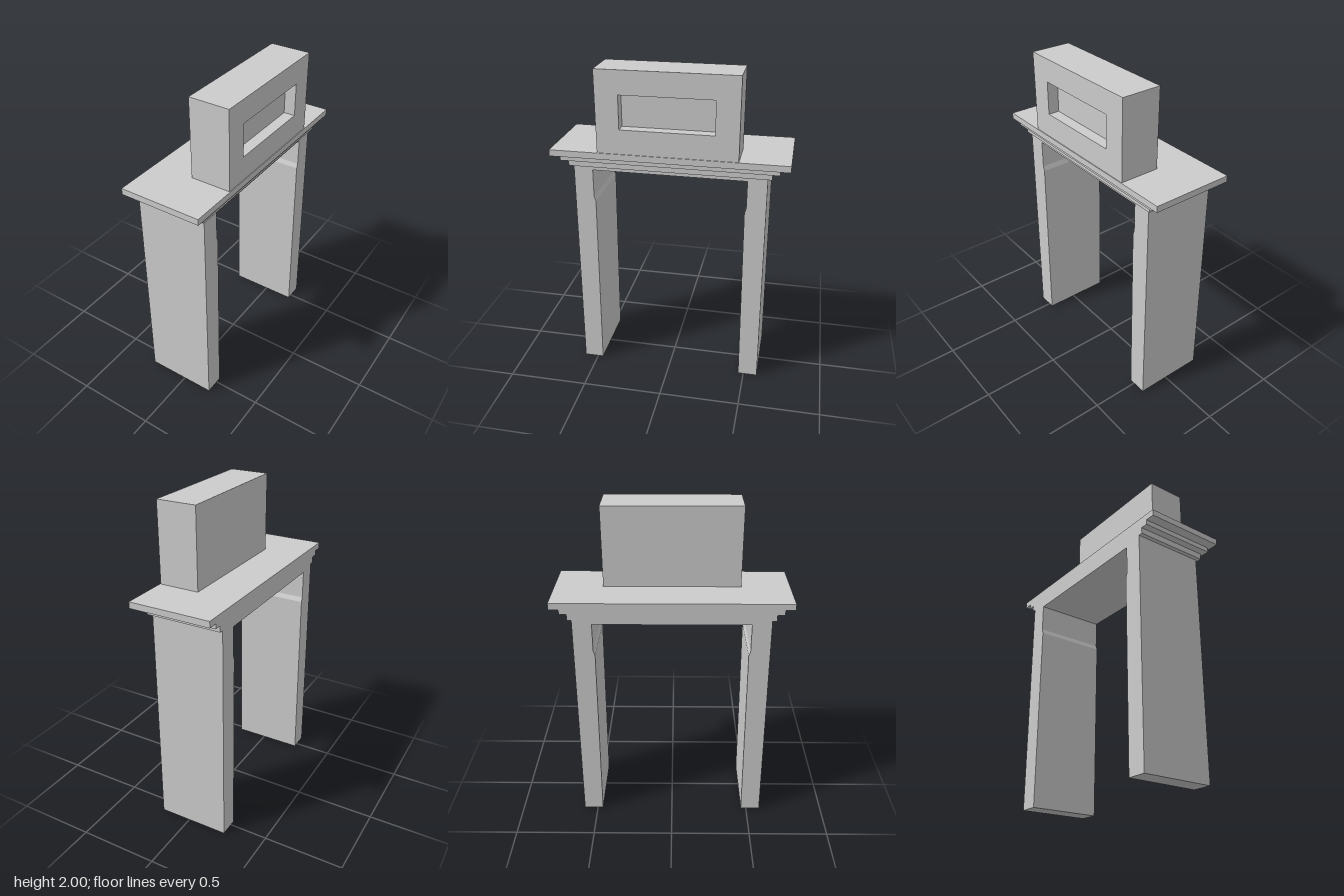
import * as THREE from 'three';
import { mergeGeometries } from 'three/addons/utils/BufferGeometryUtils.js';

const BACK = -0.255; // shared flat back plane
const material = new THREE.MeshStandardMaterial({ color: 0xcccccc, flatShading: true });

function addPart(group, name, geometry) {
  const mesh = new THREE.Mesh(geometry, material);
  mesh.name = name;
  group.add(mesh);
  return mesh;
}

// Box given by its limits on each axis
function boxBetween(x0, x1, y0, y1, z0, z1) {
  return new THREE.BoxGeometry(x1 - x0, y1 - y0, z1 - z0)
    .translate((x0 + x1) / 2, (y0 + y1) / 2, (z0 + z1) / 2);
}

// Box without its +x face; inward turns the walls to face inside
function openBox(inward, ...limits) {
  const box = boxBetween(...limits);
  const index = Array.from(box.index.array).slice(6);
  box.setIndex(inward ? index.reverse() : index);
  const flat = box.toNonIndexed();
  flat.computeVertexNormals();
  return flat;
}

function rectangle(Type, z, y0, y1) {
  return new Type([[-z, y0], [z, y0], [z, y1], [-z, y1]].map(p => new THREE.Vector2(...p)));
}

export function createModel() {
  const group = new THREE.Group();

  // Legs and lintel: one mirrored outline, extruded from back to front
  const half = [[0.588, 0], [0.582, 1.4], [0, 1.4], [0, 1.375], [0.466, 1.375],
    [0.466, 1.2], [0.456, 1.17], [0.466, 0]];
  const right = half.slice(0, 2);
  const inner = half.slice(4);
  const outline = [
    ...right,
    ...right.slice().reverse().map(([s, y]) => [-s, y]),
    ...inner.slice().reverse().map(([s, y]) => [-s, y]),
    ...inner,
  ].map(p => new THREE.Vector2(...p));
  const surround = new THREE.ExtrudeGeometry(new THREE.Shape(outline),
    { depth: 0.197 - BACK, bevelEnabled: false });
  addPart(group, 'legsAndLintel', surround.rotateY(Math.PI / 2).translate(BACK, 0, 0));

  // Stepped mouldings: front x, half width, bottom, top
  const steps = [
    ['lowerMoulding', 0.214, 0.608, 1.4, 1.438],
    ['upperMoulding', 0.235, 0.652, 1.438, 1.468],
    ['mantelShelf', 0.255, 0.711, 1.468, 1.507],
  ];
  for (const [name, front, z, y0, y1] of steps) {
    addPart(group, name, boxBetween(BACK, front, y0, y1, -z, z));
  }

  // Upper block with a rectangular recess in its +x face
  const face = rectangle(THREE.Shape, 0.416, 1.507, 2);
  face.holes.push(rectangle(THREE.Path, 0.278, 1.655, 1.858));
  const faceGeometry = new THREE.ShapeGeometry(face).toNonIndexed()
    .rotateY(Math.PI / 2).translate(0.25, 0, 0);
  addPart(group, 'chimneyBlock', mergeGeometries([
    faceGeometry,
    openBox(false, 0, 0.25, 1.507, 2, -0.416, 0.416),
    openBox(true, 0.18, 0.25, 1.655, 1.858, -0.278, 0.278),
  ]));

  return group;
}
